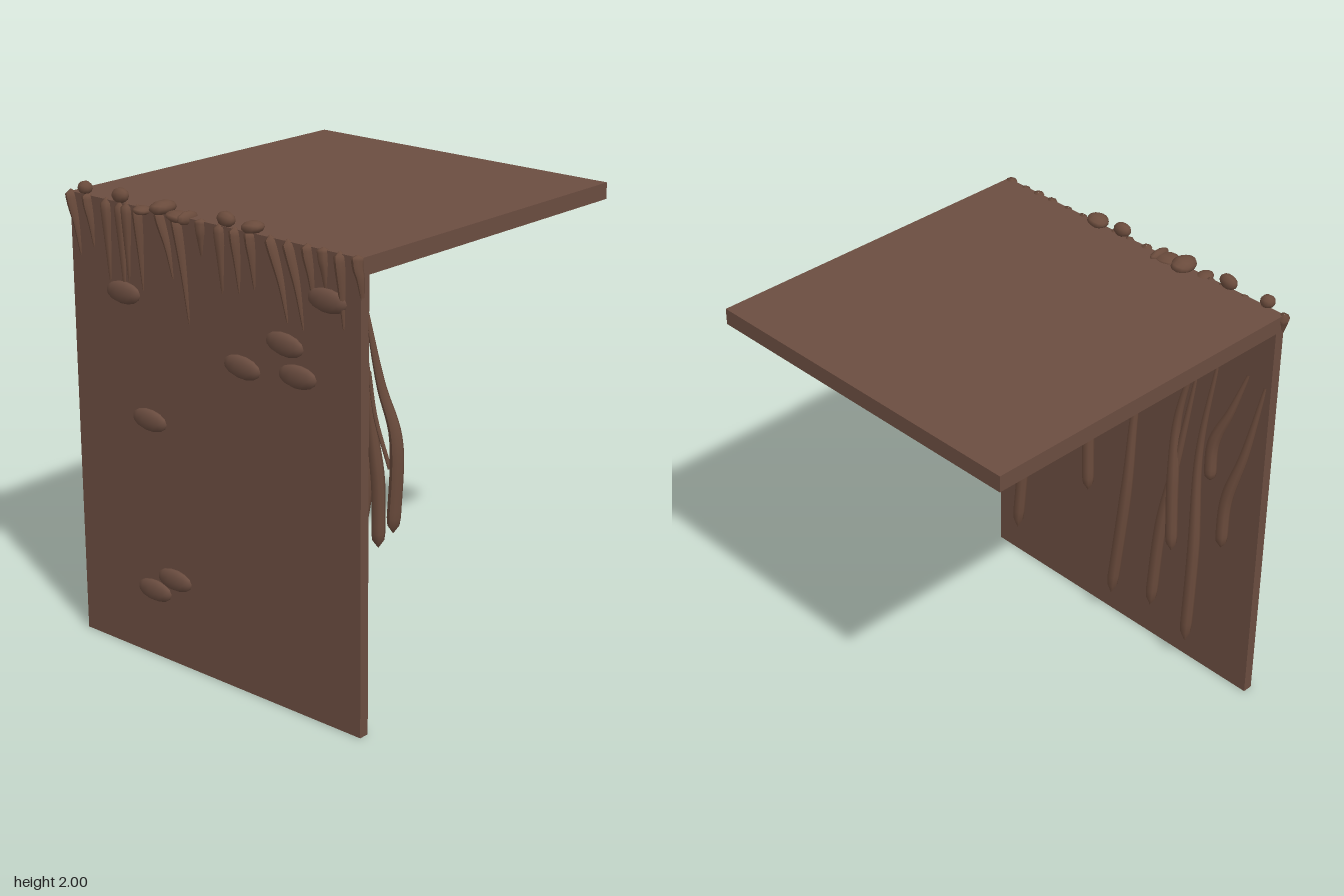
import * as THREE from 'three';

const earth = new THREE.MeshStandardMaterial({ color: 0x6b4d40 });
earth.name = 'earth brown';
const rootBark = new THREE.MeshStandardMaterial({ color: 0x6a4b3c });
rootBark.name = 'root brown';

function add(group, name, geometry, material) {
  const mesh = new THREE.Mesh(geometry, material);
  mesh.name = name;
  group.add(mesh);
  return mesh;
}

// Tube along a smooth path whose radius follows radiusAt(t), t from 0 to 1
function taperedTube(points, radiusAt, segments = 18, sides = 8) {
  const curve = new THREE.CatmullRomCurve3(points);
  const geometry = new THREE.TubeGeometry(curve, segments, 1, sides, false);
  const pos = geometry.attributes.position;
  const p = new THREE.Vector3();
  for (let i = 0; i <= segments; i++) {
    const centre = curve.getPointAt(i / segments);
    const r = radiusAt(i / segments);
    for (let j = 0; j <= sides; j++) {
      const k = i * (sides + 1) + j;
      p.fromBufferAttribute(pos, k).sub(centre).multiplyScalar(r).add(centre);
      pos.setXYZ(k, p.x, p.y, p.z);
    }
  }
  geometry.computeVertexNormals();
  return geometry;
}

// Faceted pebble with its pointed ends along x
function pebble(group, name, x, y, z, rx, ry, rz, tilt, material) {
  const geometry = new THREE.SphereGeometry(1, 9, 7).rotateZ(Math.PI / 2);
  const mesh = add(group, name, geometry, material);
  mesh.position.set(x, y, z);
  mesh.scale.set(rx, ry, rz);
  mesh.rotation.z = tilt;
}

export function createModel() {
  const model = new THREE.Group();
  model.name = 'earthLedge';

  // Earth wall and the ground slab on top of it
  add(model, 'wall', new THREE.BoxGeometry(1.555, 1.94, 0.045), earth).position.set(-0.0425, 0.97, 0.7275);
  add(model, 'topSlab', new THREE.BoxGeometry(1.555, 0.07, 1.505), earth).position.set(-0.0425, 1.905, -0.0475);

  // Stones half buried in the front face: x, y, tilt
  const stones = new THREE.Group();
  stones.name = 'stones';
  model.add(stones);
  [
    [-0.525, 1.57, 0.05], [0.57, 1.75, 0], [0.355, 1.535, -0.05], [0.13, 1.395, -0.04],
    [0.42, 1.42, 0.04], [-0.395, 1.055, 0], [-0.275, 0.38, 0.03], [-0.395, 0.30, 0.03],
  ].forEach(([x, y, tilt]) => pebble(stones, 'stone', x, y, 0.75, 0.096, 0.05, 0.026, tilt, earth));

  // Knobs along the front top edge: x, y, z, rx, ry, rz
  const knobs = new THREE.Group();
  knobs.name = 'rootKnobs';
  model.add(knobs);
  [
    [-0.735, 1.967, 0.745, 0.032, 0.028, 0.03], [-0.53, 1.968, 0.745, 0.042, 0.032, 0.028],
    [-0.395, 1.932, 0.757, 0.035, 0.018, 0.042], [-0.3, 1.955, 0.735, 0.046, 0.03, 0.063],
    [-0.205, 1.935, 0.742, 0.058, 0.022, 0.05], [-0.16, 1.937, 0.74, 0.022, 0.028, 0.055],
    [0.05, 1.969, 0.742, 0.042, 0.031, 0.03], [0.185, 1.96, 0.737, 0.048, 0.026, 0.045],
  ].forEach(([x, y, z, a, b, c], i) => pebble(knobs, 'rootKnob', x, y, z, a, b, c, i % 2 ? 0.12 : -0.08, rootBark));

  // Roots spilling over the front edge and sinking into the wall: top x, tip x, tip y
  const frontRoots = new THREE.Group();
  frontRoots.name = 'frontRoots';
  model.add(frontRoots);
  [
    [-0.82, -0.77, 1.68], [-0.72, -0.69, 1.73], [-0.61, -0.60, 1.60], [-0.53, -0.515, 1.55],
    [-0.49, -0.49, 1.62], [-0.43, -0.41, 1.60], [-0.31, -0.24, 1.68], [-0.22, -0.155, 1.51],
    [-0.08, -0.08, 1.80], [0.02, 0.03, 1.67], [0.10, 0.12, 1.69], [0.18, 0.20, 1.72],
    [0.28, 0.37, 1.62], [0.37, 0.45, 1.61], [0.47, 0.50, 1.73], [0.55, 0.56, 1.79],
    [0.63, 0.65, 1.65], [0.715, 0.735, 1.79],
  ].forEach(([x0, x1, y1]) => {
    const path = [
      new THREE.Vector3(x0 - 0.005, 1.948, 0.742),
      new THREE.Vector3(x0 + (x1 - x0) * 0.2, 1.9, 0.75),
      new THREE.Vector3(x0 + (x1 - x0) * 0.65, 1.94 - (1.94 - y1) * 0.5, 0.748),
      new THREE.Vector3(x1, y1, 0.743),
    ];
    const radius = (t) => (t === 0 ? 0.001 : 0.027 - 0.019 * t);
    add(frontRoots, 'frontRoot', taperedTube(path, radius, 14), rootBark);
  });

  // Roots hanging behind the wall, thin where they emerge and blunt at the tip: x, y pairs
  const backRoots = new THREE.Group();
  backRoots.name = 'backRoots';
  model.add(backRoots);
  [
    [0.72, 1.75, 0.775, 1.45, 0.83, 1.25, 0.815, 0.86],
    [0.71, 1.65, 0.73, 1.28, 0.745, 1.05, 0.742, 0.78],
    [0.62, 1.64, 0.64, 1.35, 0.69, 1.10, 0.645, 0.81],
    [0.45, 1.66, 0.46, 1.25, 0.52, 0.75, 0.57, 0.18],
    [0.41, 1.68, 0.45, 1.30, 0.41, 1.05, 0.45, 0.75],
    [0.25, 1.72, 0.35, 1.40, 0.37, 1.20, 0.335, 0.95],
    [0.14, 1.74, 0.21, 1.45, 0.19, 1.25, 0.22, 1.00],
    [0.06, 1.62, 0.11, 1.30, 0.13, 1.05, 0.12, 0.64],
    [-0.03, 1.76, 0.05, 1.58, 0.07, 1.45, 0.045, 1.28],
    [-0.17, 1.65, -0.12, 1.20, -0.11, 0.80, -0.045, 0.14],
    [-0.25, 1.78, -0.20, 1.58, -0.15, 1.40, -0.17, 1.22],
    [-0.43, 1.50, -0.38, 1.10, -0.32, 0.70, -0.285, 0.21],
    [-0.43, 1.62, -0.36, 1.25, -0.37, 0.95, -0.39, 0.58],
    [-0.54, 1.62, -0.49, 1.15, -0.51, 0.65, -0.50, 0.13],
    [-0.70, 1.62, -0.64, 1.42, -0.58, 1.25, -0.58, 1.06],
    [-0.79, 1.60, -0.73, 1.25, -0.67, 1.00, -0.665, 0.75],
  ].forEach((c) => {
    const z = [0.708, 0.683, 0.662, 0.655];
    const path = z.map((depth, i) => new THREE.Vector3(c[2 * i], c[2 * i + 1], depth));
    const radius = (t) => (t === 1 ? 0.001 : (0.007 + 0.02 * Math.min(1, t * 1.6)) * (t > 0.95 ? 0.85 : 1));
    add(backRoots, 'backRoot', taperedTube(path, radius, 28), rootBark);
  });

  // Fine strand beside the outer root
  const strand = [[0.73, 1.5, 0.7], [0.75, 1.32, 0.685], [0.805, 1.12, 0.665]];
  add(backRoots, 'rootStrand', taperedTube(strand.map((p) => new THREE.Vector3(...p)), () => 0.008), rootBark);

  return model;
}
